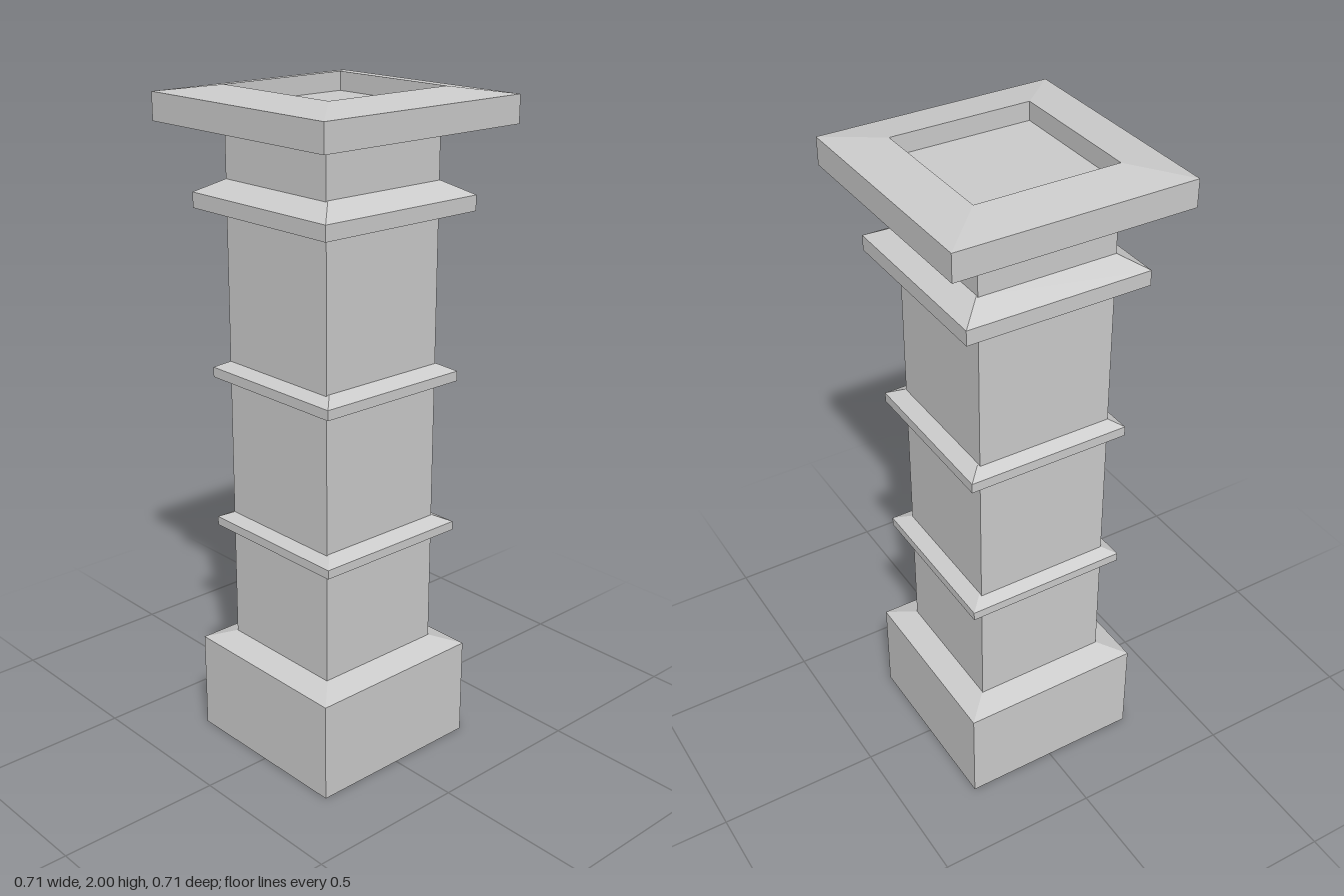
import * as THREE from 'three';

const material = new THREE.MeshStandardMaterial({ color: 0xcccccc, flatShading: true });

// Square section swept up a profile of [half width, height] points
function squareProfile(name, points, x = 0, z = 0) {
  const profile = points.map(([half, y]) => new THREE.Vector2(half * Math.SQRT2, y));
  const geometry = new THREE.LatheGeometry(profile, 4, Math.PI / 4).toNonIndexed();
  geometry.computeVertexNormals();
  const mesh = new THREE.Mesh(geometry, material);
  mesh.name = name;
  mesh.position.set(x, 0, z);
  return mesh;
}

// Moulding with a flat underside, a vertical edge and a sloped top
function moulding(name, half, bottom, edge, top, offset = 0) {
  const points = [[0.19, bottom], [half, bottom], [half, edge], [0.208, top], [0.19, top]];
  return squareProfile(name, points, -offset, offset);
}

export function createModel() {
  const group = new THREE.Group();
  group.name = 'pillar';

  // Plinth with a chamfered top
  group.add(squareProfile('base',
    [[0, 0], [0.284, 0], [0.284, 0.305], [0.208, 0.332], [0, 0.332]], -0.004, 0.004));

  // Plain square shaft
  group.add(squareProfile('shaft', [[0.209, 0.32], [0.209, 1.91]], -0.005, 0.005));

  // Two narrow bands and the neck collar
  group.add(moulding('lowerBand', 0.25, 0.69, 0.717, 0.737));
  group.add(moulding('upperBand', 0.25, 1.162, 1.192, 1.214));
  group.add(moulding('collar', 0.279, 1.66, 1.705, 1.745, 0.002));

  // Cap with a sloped rim around a sunken square
  group.add(squareProfile('cap',
    [[0, 1.9], [0.354, 1.9], [0.354, 1.98], [0.213, 2], [0.213, 1.945], [0, 1.945]]));

  return group;
}
